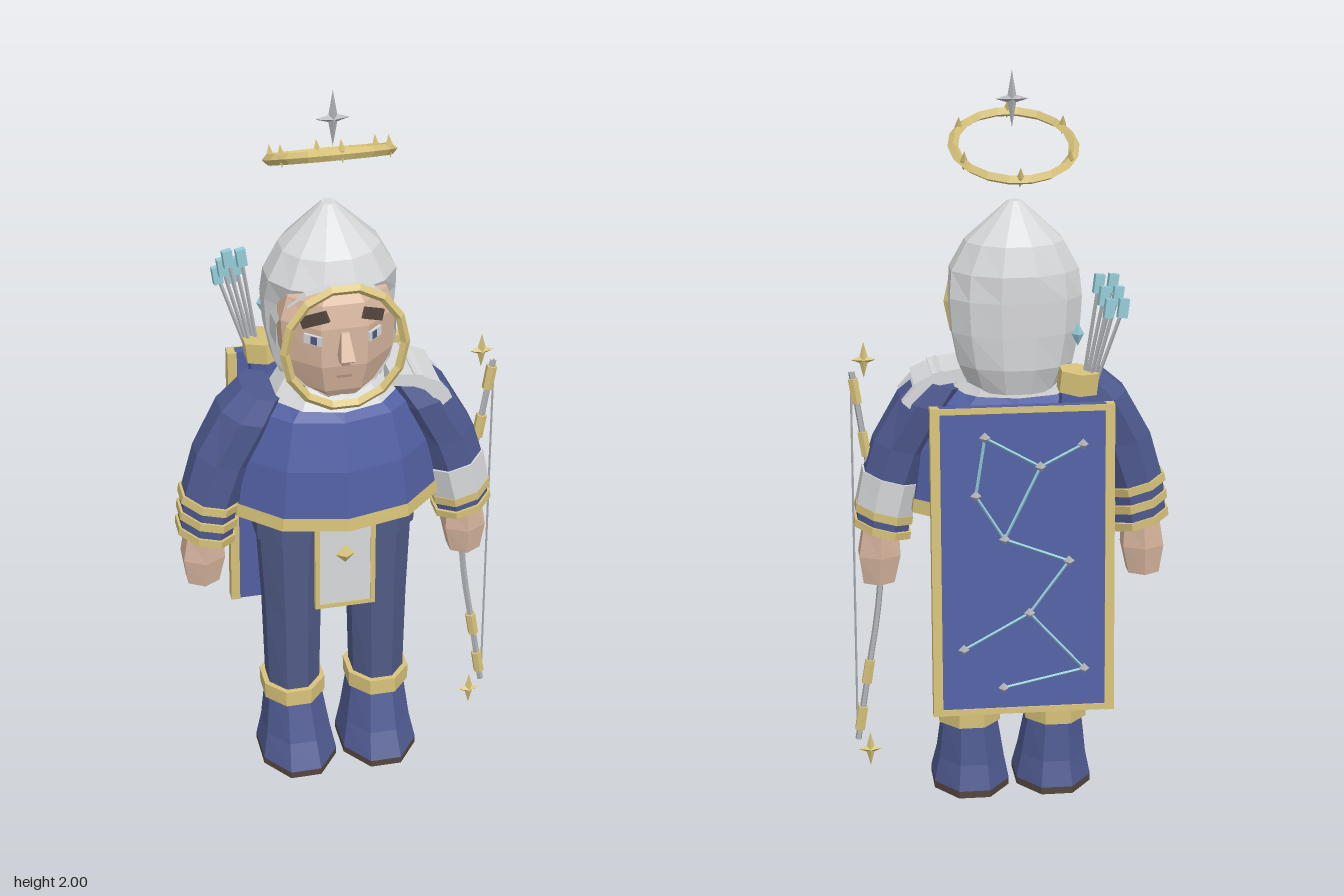
import * as THREE from 'three';

const paint = (name, color, side = THREE.FrontSide) => {
  const m = new THREE.MeshStandardMaterial({ color, side });
  m.name = name;
  return m;
};

// Faceted mesh
function add(parent, name, geo, mat, pos = [0, 0, 0], rot = [0, 0, 0]) {
  const g = geo.index ? geo.toNonIndexed() : geo;
  g.computeVertexNormals();
  const mesh = new THREE.Mesh(g, mat);
  mesh.name = name;
  mesh.position.set(...pos);
  mesh.rotation.set(...rot);
  parent.add(mesh);
  return mesh;
}

// Skin over horizontal rings [x, y, z, halfWidth, halfDepth], bottom to top
function loft(rings, n = 8, caps = true) {
  const p = [], idx = [], k = 1 / Math.cos(Math.PI / n);
  for (const [x, y, z, rx, rz] of rings)
    for (let i = 0; i < n; i++) {
      const a = (i + 0.5) * 2 * Math.PI / n;
      p.push(x + Math.cos(a) * rx * k, y, z + Math.sin(a) * rz * k);
    }
  for (let j = 0; j < rings.length - 1; j++)
    for (let i = 0; i < n; i++) {
      const a = j * n + i, d = j * n + (i + 1) % n;
      idx.push(a, a + n, d + n, a, d + n, d);
    }
  if (caps) {
    const top = (rings.length - 1) * n;
    for (let i = 1; i < n - 1; i++) idx.push(0, i, i + 1, top, top + i + 1, top + i);
  }
  const g = new THREE.BufferGeometry();
  g.setAttribute('position', new THREE.Float32BufferAttribute(p, 3));
  g.setIndex(idx);
  return g;
}

// Slice of a ring list at height y, slightly enlarged
function slice(rings, y, grow) {
  let j = 0;
  while (j < rings.length - 2 && rings[j + 1][1] < y) j++;
  const a = rings[j], b = rings[j + 1], t = (y - a[1]) / (b[1] - a[1]);
  return a.map((v, i) => v + (b[i] - v) * t + (i > 2 ? grow : 0));
}
const band = (rings, y0, y1, grow, n, caps) => loft([slice(rings, y0, grow), slice(rings, y1, grow)], n, caps);

// Move each vertex by a rule
function bend(geo, rule) {
  const p = geo.attributes.position, v = new THREE.Vector3();
  for (let i = 0; i < p.count; i++) {
    rule(v.fromBufferAttribute(p, i));
    p.setXYZ(i, v.x, v.y, v.z);
  }
  return geo;
}
// Raise the outer side of a sleeve so its rings lie across the slanted arm
const slant = geo => bend(geo, v => { v.y += 0.28 * (Math.abs(v.x) - 0.35); });

// Straight rod between two points
function rod(parent, name, a, b, r, mat, n = 4) {
  const A = new THREE.Vector3(...a), B = new THREE.Vector3(...b), d = B.clone().sub(A);
  const m = add(parent, name, new THREE.CylinderGeometry(r, r, d.length(), n), mat);
  m.position.copy(A).add(B).multiplyScalar(0.5);
  m.quaternion.setFromUnitVectors(new THREE.Vector3(0, 1, 0), d.normalize());
}
const gem = (x, y, z) => new THREE.OctahedronGeometry(1).scale(x, y, z);
const box = (x, y, z) => new THREE.BoxGeometry(x, y, z);
function star(parent, name, mat, pos, w, h) {
  add(parent, name, gem(0.013, h, 0.013), mat, pos);
  add(parent, name, gem(w, 0.013, 0.013), mat, pos);
  add(parent, name, gem(0.01, 0.01, 0.018), mat, pos);
}

export function createModel() {
  const root = new THREE.Group();
  const body = new THREE.Group();
  body.name = 'archer';
  body.position.x = -0.01;
  root.add(body);
  const blue = paint('blue cloth', 0x5361a5, THREE.DoubleSide), sleeve = paint('sleeve blue', 0x4f5a90);
  const navy = paint('trouser blue', 0x505a86), gold = paint('gold', 0xd8c37a, THREE.DoubleSide);
  const white = paint('pale cloth', 0xd8d9db, THREE.DoubleSide), steel = paint('steel', 0xb2b4b9);
  const skin = paint('skin', 0xd8b69f), lip = paint('lip', 0xb08d7b);
  const brown = paint('dark brown', 0x55463f), ice = paint('ice blue', 0x95ccd8);

  // Legs and boots
  for (const s of [-1, 1]) {
    const leg = [[s * .12, .2, .065, .07, .08], [s * .12, .5, .06, .077, .08], [s * .12, .73, .05, .088, .085], [s * .11, .88, .045, .1, .09]];
    add(body, 'trouserLeg', loft(leg), navy);
    add(body, 'hipFlap', band(leg, .73, .86, .008), navy);
    add(body, 'bootCuff', band(leg, .2, .247, .014), gold);
    const boot = [[s * .115, 0, .09, .104, .14], [s * .115, .02, .09, .104, .14], [s * .115, .09, .08, .09, .112], [s * .118, .21, .065, .074, .084]];
    add(body, 'boot', loft(boot.slice(1)), sleeve);
    add(body, 'sole', loft(boot.slice(0, 2)), brown);
  }
  add(body, 'hips', loft([[0, .72, .05, .1, .07], [0, .82, .05, .19, .085], [0, .92, .05, .19, .09]]), navy);
  add(body, 'torso', loft([[0, .85, .05, .18, .09], [0, 1.18, .04, .14, .08]]), navy);

  // Shoulder cape with gold hem
  const cape = [[0, .828, .05, .272, .185], [0, 1.0, .05, .25, .172], [0, 1.13, .045, .212, .142], [0, 1.195, .035, .13, .11]];
  add(body, 'cape', loft(cape, 10, false), blue);
  add(body, 'capeHem', band(cape, .828, .866, .004, 10, false), gold);
  add(body, 'hoodMantle', loft([[0, 1.16, .045, .168, .138], [0, 1.215, .03, .13, .115]], 10), white);

  // Arms: banded sleeves, hands, bracer on the left
  for (const s of [-1, 1]) {
    const arm = [[s * .355, .755, .065, .068, .072], [s * .342, .87, .065, .07, .076], [s * .3, 1.012, .06, .074, .08], [s * .235, 1.155, .05, .07, .095], [s * .19, 1.225, .04, .055, .08]];
    add(body, 'sleeve', slant(loft(arm)), sleeve);
    const bands = s < 0 ? [[.757, .78], [.808, .832], [.86, .884]] : [[.757, .778], [.8, .824]];
    for (const [a, b] of bands) add(body, 'sleeveBand', slant(band(arm, a, b, .007)), gold);
    if (s > 0) add(body, 'bracer', slant(band(arm, .824, .92, .005)), white);
    add(body, 'hand', loft([[s * .365, .612, .065, .042, .042], [s * .362, .69, .065, .056, .052], [s * .358, .765, .065, .048, .05]], 6), skin);
  }
  for (const [x, y, w, r] of [[.175, 1.205, .09, -.15], [.225, 1.19, .08, -.45], [.263, 1.155, .075, -.85]])
    add(body, 'shoulderPlate', box(w, .035, .17), white, [x, y, .055], [0, 0, r]);

  // Head and hood
  add(body, 'head', loft([[0, 1.18, .075, .07, .075], [0, 1.22, .065, .115, .108], [0, 1.3, .06, .143, .13], [0, 1.41, .06, .15, .13], [0, 1.47, .05, .13, .125], [0, 1.51, .04, .09, .1]]), skin);
  add(body, 'hood', loft([[0, 1.17, .01, .12, .11], [0, 1.24, -.01, .15, .112], [0, 1.33, -.017, .168, .11], [0, 1.42, -.014, .174, .116],
    [0, 1.49, .008, .168, .138], [0, 1.565, .004, .128, .114], [0, 1.63, -.004, .06, .056], [0, 1.67, -.008, .018, .018]], 12), white);
  // Hood brim: a sleeve round the face, longest at brow and chin
  const brim = loft([[0, -.02, -1.355, .163, .16], [0, .085, -1.355, .158, .158]], 16, false).rotateX(Math.PI / 2);
  add(body, 'hoodBrim', bend(brim, v => { if (v.z > .05) v.z += .08 * Math.abs((v.y - 1.355) / .158) ** 1.5; }), white);
  add(body, 'hoodRim', new THREE.TorusGeometry(.157, .0125, 4, 14).scale(1, 1.09, .9), gold, [0, 1.357, .196]);

  // Face
  add(body, 'nose', loft([[0, 1.315, .19, .015, .014], [0, 1.335, .2, .019, .034], [0, 1.4, .182, .01, .014]], 4), skin);
  add(body, 'noseShadow', box(.022, .006, .02), lip, [0, 1.315, .2]);
  add(body, 'mouth', box(.04, .007, .008), lip, [0, 1.267, .181]);
  for (const s of [-1, 1]) {
    const turn = s * .7;
    add(body, 'eye', box(.05, .026, .008), white, [s * .08, 1.38, .178], [0, turn, 0]);
    add(body, 'iris', box(.018, .022, .008), navy, [s * .077, 1.38, .182], [0, turn, 0]);
    add(body, 'brow', box(.082, .03, .009), brown, [s * .076, 1.437, .178], [-.1, turn, -s * .4]);
  }

  // Front tabard
  add(body, 'tabard', box(.145, .27, .009), white, [0, .7, .2]);
  for (const s of [-1, 1]) add(body, 'tabardTrim', box(.013, .285, .015), gold, [s * .076, .7, .2]);
  add(body, 'tabardTrim', box(.165, .013, .015), gold, [0, .564, .2]);
  add(body, 'tabardGem', gem(.027, .027, .018), gold, [0, .728, .205]);

  // Back panel with a star chart
  const panel = new THREE.Group();
  panel.name = 'backPanel';
  panel.position.set(0, .745, -.199);
  panel.rotation.x = .044;
  body.add(panel);
  add(panel, 'panel', box(.44, .84, .024), blue);
  for (const s of [-1, 1]) add(panel, 'panelTrim', box(.025, .84, .034), gold, [s * .229, 0, 0]);
  for (const s of [-1, 1]) add(panel, 'panelEdge', box(.45, .016, .012), gold, [0, s * .411, -.011]);
  const nodes = [[.1, .34], [-.157, .315], [-.045, .258], [.125, .185], [.05, .065], [-.12, 0], [-.015, -.14], [.16, -.235], [-.16, -.3], [.055, -.345]]
    .map(([x, y]) => [x, y, -.019]);
  for (const p of nodes) add(panel, 'chartStar', gem(.015, .015, .022), steel, p);
  for (const [a, b] of [[0, 2], [2, 1], [0, 3], [2, 4], [3, 4], [4, 5], [5, 6], [6, 7], [6, 8], [8, 9]])
    rod(panel, 'chartLine', nodes[a], nodes[b], .004, ice);

  // Quiver and arrows
  rod(body, 'quiver', [-.12, .75, -.11], [-.153, 1.19, -.112], .048, blue, 6);
  rod(body, 'quiverRim', [-.152, 1.18, -.112], [-.158, 1.238, -.114], .057, gold, 6);
  add(body, 'quiverCrystal', gem(.016, .032, .016), ice, [-.153, 1.335, -.12]);
  for (let i = 0; i < 6; i++) {
    const tip = [-.205 - .012 * i, 1.47 - .03 * (i % 3), -.13 - .014 * (i % 3)];
    rod(body, 'arrowShaft', [-.168 - .006 * i, 1.2, -.115 - .008 * (i % 3)], tip, .005, steel);
    add(body, 'fletching', box(.026, .05, .016), ice, tip, [0, .15, .13]);
  }

  // Bow in the left hand
  const z = .075;
  const curve = new THREE.CatmullRomCurve3([[.428, 1.2], [.397, 1.0], [.368, .82], [.357, .67], [.368, .52], [.397, .34], [.428, .14]]
    .map(([x, y]) => new THREE.Vector3(x, y, z)));
  add(body, 'bowLimb', new THREE.TubeGeometry(curve, 16, .009, 5), steel);
  rod(body, 'bowString', [.43, .14, z], [.43, 1.2, z], .003, steel);
  for (const t of [.05, .19, .81, .94]) {
    const p = curve.getPointAt(t), d = curve.getTangentAt(t).multiplyScalar(.034);
    rod(body, 'bowFitting', p.clone().sub(d).toArray(), p.clone().add(d).toArray(), .015, gold, 6);
  }
  for (const y of [1.232, .108]) star(body, 'bowStar', gold, [.395, y, z], .033, .05);

  // Tilted halo and floating star
  const halo = new THREE.Group();
  halo.name = 'halo';
  halo.position.set(0, 1.81, .01);
  halo.rotation.x = -.43;
  body.add(halo);
  add(halo, 'haloRing', new THREE.TorusGeometry(.158, .014, 4, 18).rotateX(Math.PI / 2), gold);
  for (let i = 0; i < 6; i++) {
    const a = i * Math.PI / 3;
    add(halo, 'haloSpike', gem(.01, .03, .01), gold, [Math.sin(a) * .158, .008, Math.cos(a) * .158]);
  }
  star(body, 'haloStar', steel, [0, 1.925, .048], .044, .075);
  return root;
}
